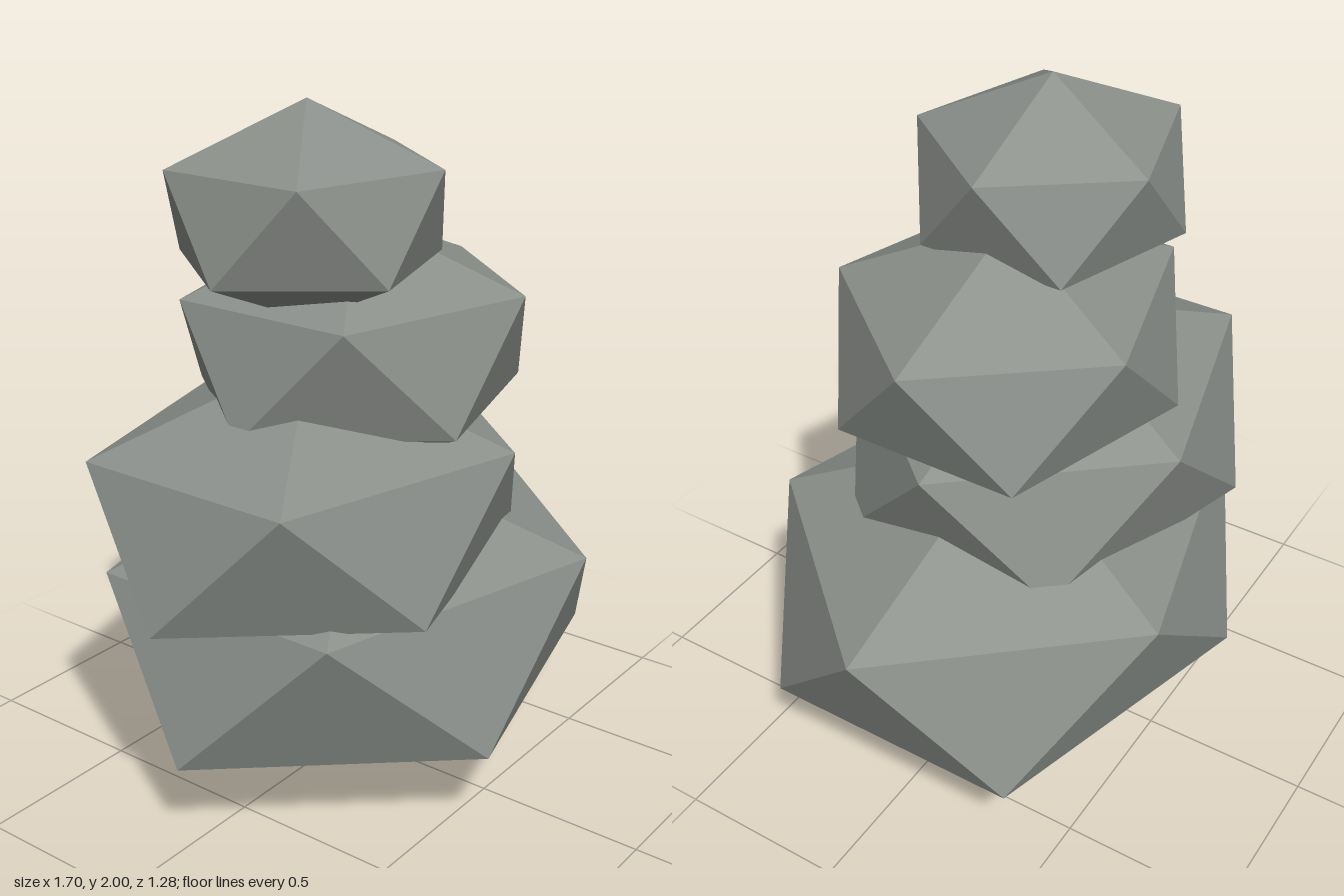
import * as THREE from 'three';

// Ring of an icosahedron standing on a corner: radius 2/sqrt(5) of the full radius
const RING = 2 / Math.sqrt(5);
const TILT = Math.atan(2 / (1 + Math.sqrt(5)));

// A squashed icosahedral stone, corner up, with an upper-ring corner towards +x
function makeStone(name, x, y, ringX, halfHeight, ringZ, material) {
  const geometry = new THREE.IcosahedronGeometry(1, 0);
  geometry.rotateZ(-TILT);
  geometry.scale(ringX / RING, halfHeight, ringZ / RING);
  const stone = new THREE.Mesh(geometry, material);
  stone.name = name;
  stone.position.set(x, y, 0);
  return stone;
}

export function createModel() {
  const model = new THREE.Group();
  model.name = 'stoneStack';
  const material = new THREE.MeshStandardMaterial({ color: 0x8a8f8a, flatShading: true });

  // Stones from bottom to top: name, x, y, ring radius x, half height, ring radius z
  const stones = [
    ['baseStone', 0.04, 0.475, 0.81, 0.47, 0.673],
    ['lowerStone', -0.18, 0.885, 0.67, 0.414, 0.573],
    ['upperStone', 0.037, 1.293, 0.533, 0.363, 0.478],
    ['topStone', -0.183, 1.7, 0.393, 0.3, 0.376],
  ];
  for (const s of stones) model.add(makeStone(...s, material));
  return model;
}
